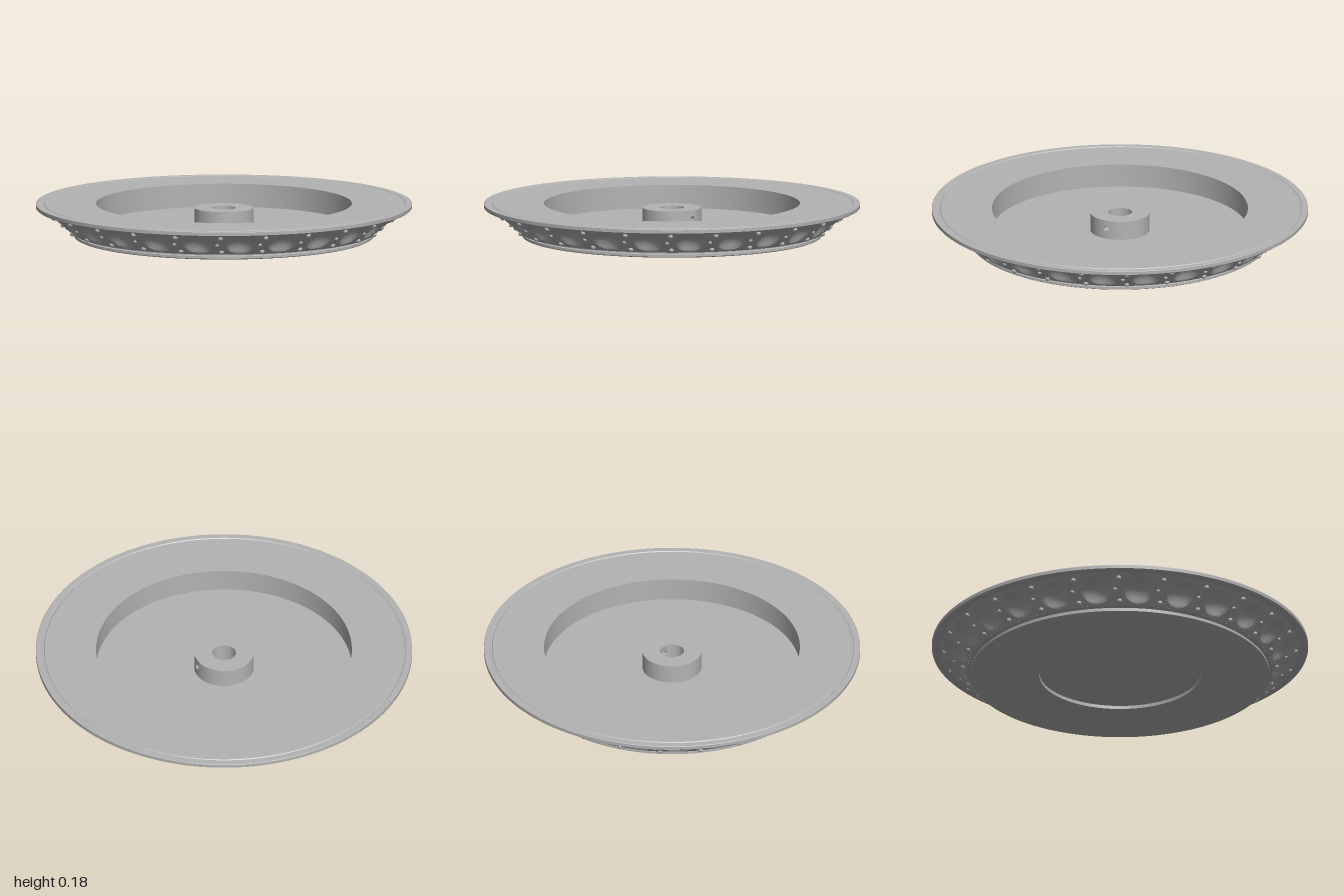
import * as THREE from 'three';
import { mergeGeometries, toCreasedNormals } from 'three/addons/utils/BufferGeometryUtils.js';

const grey = new THREE.MeshStandardMaterial({ color: 0xb3b3b3 });
grey.name = 'plain grey';

const DIMPLES = 24;
const LOW = { r: 0.81, y: 0.03 };    // lower edge of the sloping band
const HIGH = { r: 0.95, y: 0.152 };  // upper edge of the sloping band
const FLOOR = 0.056;
const HUB_TOP = 0.157, HUB_R = 0.157, BORE_R = 0.063;

function part(name, geometry) {
  const mesh = new THREE.Mesh(geometry, grey);
  mesh.name = name;
  return mesh;
}

function turned(name, points) {
  const profile = points.map(([r, y]) => new THREE.Vector2(r, y));
  return part(name, toCreasedNormals(new THREE.LatheGeometry(profile, 128), 0.5));
}

// Point on the band: angle a, height fraction t, pushed out along the normal
const slope = new THREE.Vector2(HIGH.r - LOW.r, HIGH.y - LOW.y);
const bandLength = slope.length();
slope.normalize();
function bandPoint(a, t, out = 0) {
  const r = LOW.r + slope.x * bandLength * t + slope.y * out;
  const y = LOW.y + slope.y * bandLength * t - slope.x * out;
  return new THREE.Vector3(r * Math.sin(a), y, r * Math.cos(a));
}

// Sloping side with a ring of hollow oval dimples
function dimpledBand() {
  const rows = 20;
  const profile = [];
  for (let j = 0; j <= rows; j++) {
    profile.push(new THREE.Vector2(LOW.r + (HIGH.r - LOW.r) * j / rows, LOW.y + (HIGH.y - LOW.y) * j / rows));
  }
  const geometry = new THREE.LatheGeometry(profile, DIMPLES * 20);
  const { position, uv } = geometry.attributes;
  for (let i = 0; i < position.count; i++) {
    const turn = uv.getX(i), t = uv.getY(i);
    const across = ((turn * DIMPLES) % 1 - 0.5) * (2 * Math.PI / DIMPLES) * 0.88;
    const d2 = (across / 0.078) ** 2 + ((t - 0.5) * bandLength / 0.08) ** 2;
    const p = bandPoint(turn * 2 * Math.PI, t, -0.032 * Math.max(0, 1 - d2));
    position.setXYZ(i, p.x, p.y, p.z);
  }
  return part('dimpledBand', toCreasedNormals(geometry, 0.45));
}

// Small beads in the gaps between the dimples
function bandBeads() {
  const beads = [];
  for (let i = 0; i < DIMPLES; i++) {
    for (const [shift, t, size] of [[0.01, 0.86, 0.014], [-0.012, 0.5, 0.011], [0.014, 0.14, 0.014]]) {
      const p = bandPoint(i * 2 * Math.PI / DIMPLES + shift, t);
      beads.push(new THREE.SphereGeometry(size, 12, 8).translate(p.x, p.y, p.z));
    }
  }
  return part('bandBeads', mergeGeometries(beads));
}

// Hub ring with a bore and a small screw hole through the +x wall
function hub() {
  const group = new THREE.Group();
  group.name = 'hub';
  const half = 0.022, height = HUB_TOP - FLOOR;

  const ring = new THREE.Shape();
  const outer = Math.asin(half / HUB_R), inner = Math.asin(half / BORE_R);
  ring.absarc(0, 0, HUB_R, outer, 2 * Math.PI - outer, false);
  ring.absarc(0, 0, BORE_R, 2 * Math.PI - inner, inner, true);
  const ringGeometry = new THREE.ExtrudeGeometry(ring, { depth: height, bevelEnabled: false, curveSegments: 72 });
  ringGeometry.rotateX(-Math.PI / 2).translate(0, FLOOR, 0);
  group.add(part('hubRing', toCreasedNormals(ringGeometry, 0.5)));

  const wall = new THREE.Shape();
  wall.moveTo(-half, FLOOR).lineTo(half, FLOOR).lineTo(half, HUB_TOP).lineTo(-half, HUB_TOP);
  const hole = new THREE.Path();
  hole.absarc(0, 0.112, 0.014, 0, 2 * Math.PI, true);
  wall.holes.push(hole);
  const wallGeometry = new THREE.ExtrudeGeometry(wall, { depth: 1, bevelEnabled: false, curveSegments: 12 });
  const pos = wallGeometry.attributes.position;
  for (let i = 0; i < pos.count; i++) {
    const u = pos.getX(i), r = pos.getZ(i) > 0.5 ? HUB_R : BORE_R;
    pos.setXYZ(i, Math.sqrt(r * r - u * u), pos.getY(i), -u);
  }
  group.add(part('screwHoleWall', toCreasedNormals(wallGeometry, 0.5)));
  return group;
}

export function createModel() {
  const model = new THREE.Group();
  model.name = 'dish';
  // Underside with its shallow round recess, foot edge and groove
  model.add(turned('base', [
    [0, 0.018], [0.43, 0.018], [0.43, 0], [0.785, 0], [0.795, 0.005],
    [0.795, 0.018], [0.785, 0.021], [0.785, 0.027], [LOW.r, LOW.y],
  ]));
  model.add(dimpledBand(), bandBeads());
  // Rim with a fine groove, flat top and deep central well
  model.add(turned('rimAndWell', [
    [HIGH.r, HIGH.y], [0.955, 0.156], [0.995, 0.156], [1, 0.16], [1, 0.178], [0.998, 0.18],
    [0.968, 0.18], [0.964, 0.176], [0.957, 0.176], [0.953, 0.18],
    [0.68, 0.18], [0.68, FLOOR], [0, FLOOR],
  ]));
  model.add(hub());
  return model;
}
